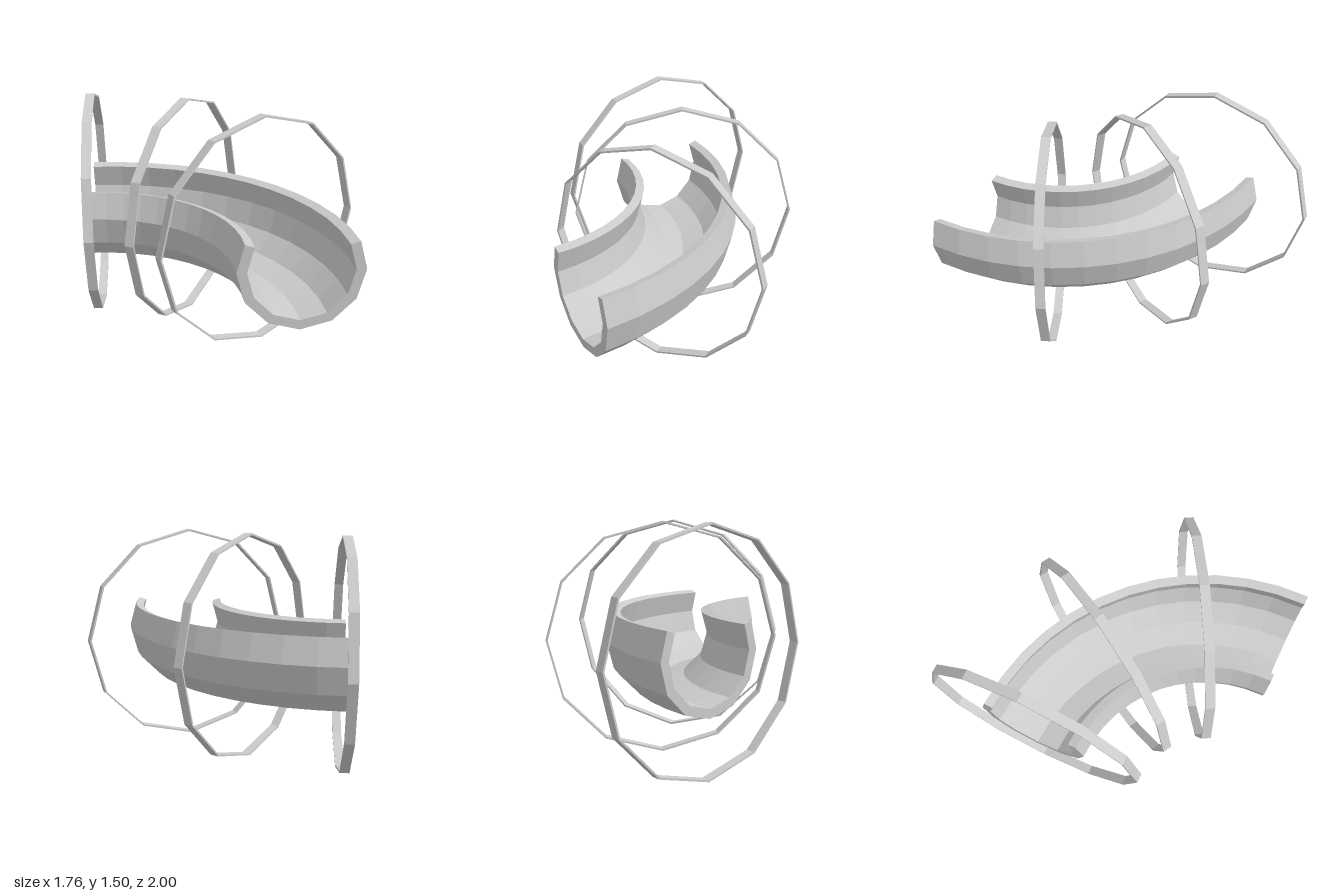
import * as THREE from 'three';

const BEND = 1.25;   // radius of the quarter-turn centre line
const MID_Y = 0.75;  // height of the centre line
const SIDES = 12;

// Point of a regular 12-gon, vertex 0 on +x
const corner = (r, i) => {
  const a = (i / SIDES) * Math.PI * 2;
  return new THREE.Vector2(r * Math.cos(a), r * Math.sin(a));
};

export function createModel() {
  const model = new THREE.Group();
  const material = new THREE.MeshStandardMaterial({
    color: 0xcccccc, flatShading: true, side: THREE.DoubleSide,
  });

  const add = (geometry, name, parent) => {
    const mesh = new THREE.Mesh(geometry, material);
    mesh.name = name;
    parent.add(mesh);
    return mesh;
  };

  // Everything is laid out around the axis of the bend
  const bend = new THREE.Group();
  bend.name = 'bend';
  bend.position.set(-0.88, MID_Y, 1);
  model.add(bend);

  // Open trough section: outer wall left to right, then inner wall back
  const section = [new THREE.Vector2(-0.324, 0.172)];
  for (let i = 6; i <= 12; i++) section.push(corner(0.37, i));
  section.push(new THREE.Vector2(0.324, 0.172));
  for (let i = 13; i >= 5; i--) section.push(corner(0.31, i));

  // Trough swept through a quarter turn
  const profile = section.map((p) => new THREE.Vector2(p.x + BEND, p.y));
  profile.push(profile[0].clone());
  add(new THREE.LatheGeometry(profile, 12, Math.PI / 2, Math.PI / 2), 'trough', bend);

  // Flat ends of the trough walls
  const endShape = new THREE.Shape(profile);
  add(new THREE.ShapeGeometry(endShape), 'troughFrontEnd', bend);
  add(new THREE.ShapeGeometry(endShape), 'troughBackEnd', bend).rotation.y = Math.PI / 2;

  // Thin twelve-sided hoops around the trough, 30 degrees apart
  const hoopShape = new THREE.Shape();
  const hole = new THREE.Path();
  const indices = Array.from({ length: SIDES }, (_, i) => i);
  hoopShape.setFromPoints(indices.map((i) => corner(0.75, i)));
  hole.setFromPoints(indices.map((i) => corner(0.738, i)));
  hoopShape.holes.push(hole);
  const hoopGeometry = new THREE.ExtrudeGeometry(hoopShape, { depth: 0.06, bevelEnabled: false });
  hoopGeometry.translate(BEND, 0, 0);
  for (let k = 0; k < 3; k++) {
    add(hoopGeometry, `hoop${k + 1}`, bend).rotation.y = Math.PI / 2 - (k * Math.PI) / 6;
  }

  return model;
}
